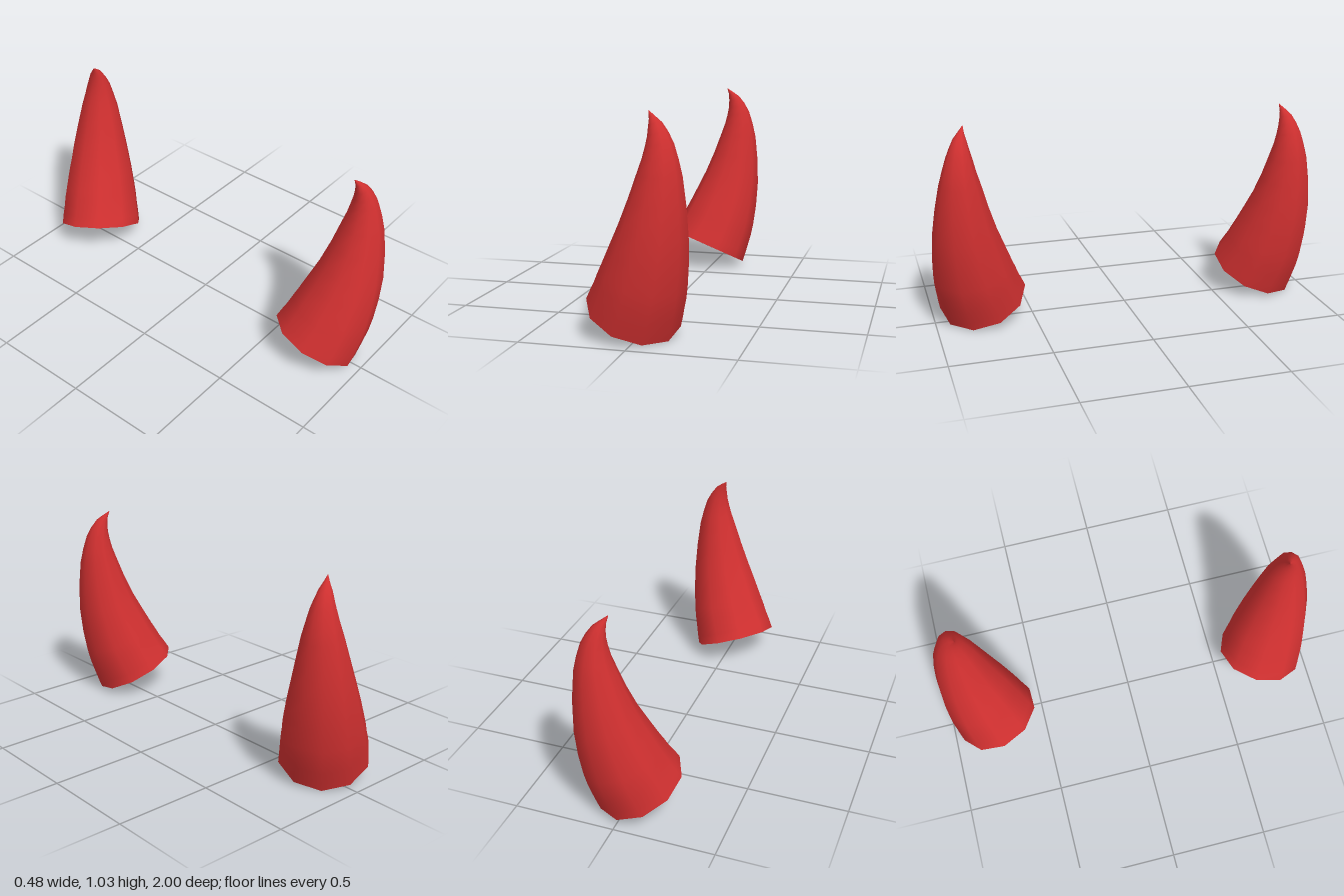
import * as THREE from 'three';

const SIDES = 10;
const RINGS = 14;

// Horn centre line: x, y, z, radius
const PROFILE = [
  [-0.037, 0.096, 0.748, 0.225],
  [-0.002, 0.186, 0.776, 0.213],
  [0.032, 0.29, 0.802, 0.199],
  [0.085, 0.5, 0.84, 0.158],
  [0.119, 0.75, 0.856, 0.101],
  [0.118, 0.88, 0.853, 0.064],
  [0.096, 0.965, 0.842, 0.033],
  [0.06, 1.025, 0.82, 0.001],
];

// Rings of points set square to the centre line; side is +1 or -1 in z
function hornRings(side) {
  const path = new THREE.CatmullRomCurve3(
    PROFILE.map(([x, y, z]) => new THREE.Vector3(x, y, z * side)));
  const radius = new THREE.SplineCurve(PROFILE.map((p, i) => new THREE.Vector2(i, p[3])));
  const rings = [];
  for (let i = 0; i <= RINGS; i++) {
    const t = i / RINGS;
    const centre = path.getPoint(t);
    const tangent = path.getTangent(t);
    const r = Math.max(radius.getPoint(t).y, 0.001);
    const u = new THREE.Vector3(1, 0, 0).addScaledVector(tangent, -tangent.x).normalize();
    const v = u.clone().cross(tangent);
    const ring = [];
    for (let j = 0; j < SIDES; j++) {
      const a = THREE.MathUtils.degToRad(-8 + (360 / SIDES) * j);
      ring.push(centre.clone()
        .addScaledVector(u, r * Math.cos(a))
        .addScaledVector(v, r * Math.sin(a)));
    }
    rings.push(ring);
  }
  return rings;
}

function meshFrom(points, index, material, name) {
  const geometry = new THREE.BufferGeometry().setFromPoints(points);
  geometry.setIndex(index);
  geometry.computeVertexNormals();
  const mesh = new THREE.Mesh(geometry, material);
  mesh.name = name;
  return mesh;
}

function makeHorn(side, material, name) {
  const horn = new THREE.Group();
  horn.name = name;
  const rings = hornRings(side);

  // Smooth curved side
  const index = [];
  for (let i = 0; i < RINGS; i++) {
    for (let j = 0; j < SIDES; j++) {
      const k = (j + 1) % SIDES;
      const a = i * SIDES + j, b = i * SIDES + k;
      index.push(a, a + SIDES, b, b, a + SIDES, b + SIDES);
    }
  }
  horn.add(meshFrom(rings.flat(), index, material, 'hornSide'));

  // Flat base
  const cap = [];
  for (let j = 1; j < SIDES - 1; j++) cap.push(0, j, j + 1);
  horn.add(meshFrom(rings[0], cap, material, 'hornBase'));
  return horn;
}

export function createModel() {
  const model = new THREE.Group();
  model.name = 'hornPair';
  const red = new THREE.MeshStandardMaterial({ color: 0xd03030 });
  red.name = 'hornRed';
  model.add(makeHorn(1, red, 'frontHorn'), makeHorn(-1, red, 'backHorn'));
  return model;
}
